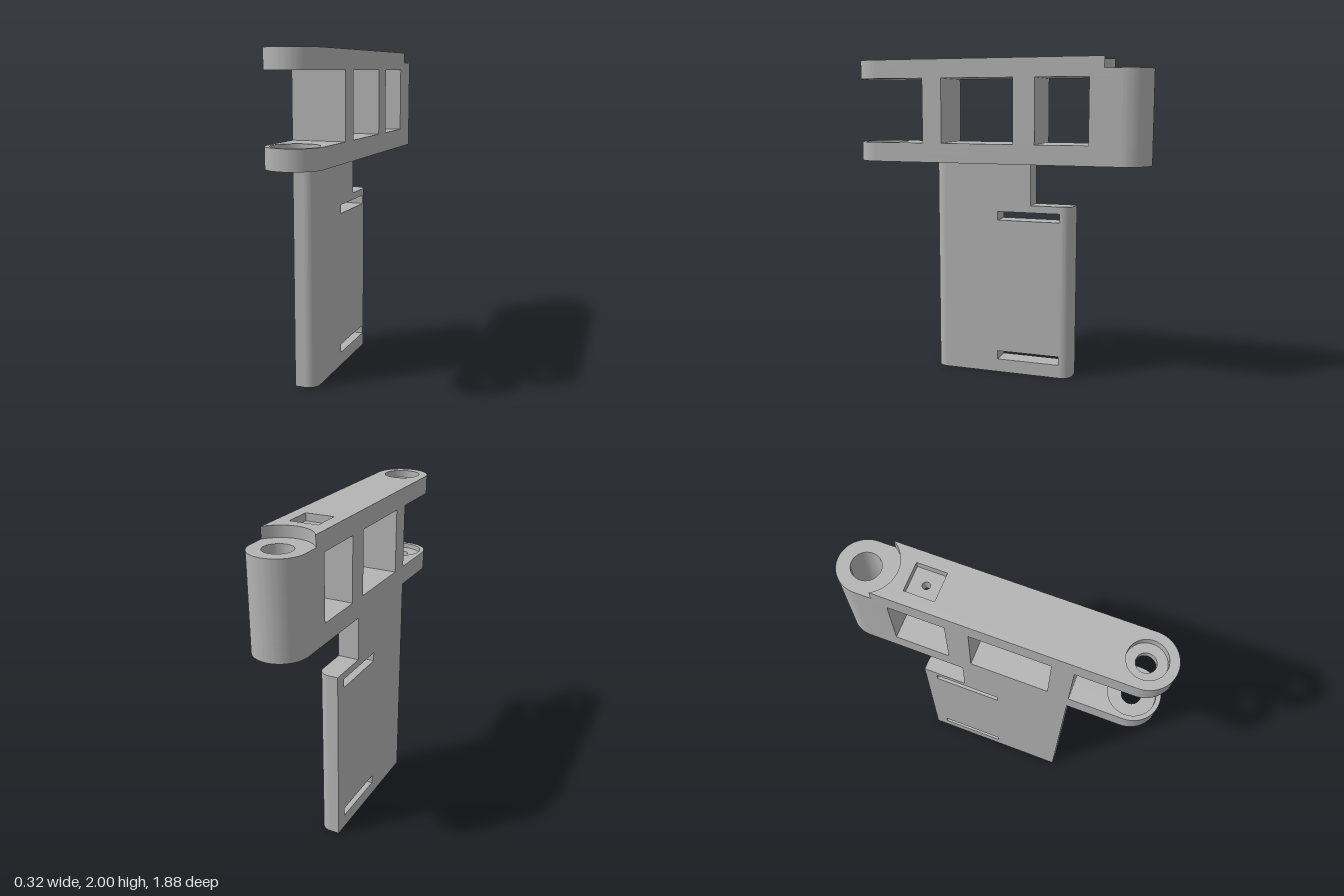
import * as THREE from 'three';
import { toCreasedNormals } from 'three/addons/utils/BufferGeometryUtils.js';

const R = 0.1625;      // half width of the arm
const PIVOT = 0.775;   // distance of both pivots from the centre

export function createModel() {
  const grey = new THREE.MeshStandardMaterial({ color: 0xb4b4b4 });
  grey.name = 'plain grey';
  const model = new THREE.Group();
  model.name = 'bracket';
  const arm = new THREE.Group();
  arm.name = 'arm';
  const blade = new THREE.Group();
  blade.name = 'mountingPlate';
  model.add(arm, blade);

  // Extrude a plan shape (x, -z) from height y0 to y1
  function slab(group, name, shape, y0, y1) {
    const geo = new THREE.ExtrudeGeometry(shape, { depth: y1 - y0, bevelEnabled: false, curveSegments: 32 });
    geo.rotateX(-Math.PI / 2);
    geo.translate(0, y0, 0);
    const mesh = new THREE.Mesh(toCreasedNormals(geo, 0.5), grey);
    mesh.name = name;
    group.add(mesh);
  }

  // Plan outline with square, round or cupped ends
  function plan(zFront, zBack, front, back, holes = []) {
    const s = new THREE.Shape();
    if (front === 'round') s.absarc(0, -PIVOT, R, Math.PI, 2 * Math.PI, false);
    else s.moveTo(-R, -zFront).lineTo(R, -zFront);
    if (back === 'round') {
      s.absarc(0, PIVOT, R, 0, Math.PI, false);
    } else if (back === 'cup') {
      const a = Math.acos(R / 0.19);
      s.absarc(0, PIVOT, 0.19, -a, Math.PI + a, true);
    } else {
      s.lineTo(R, -zBack).lineTo(-R, -zBack);
    }
    s.closePath();
    s.holes.push(...holes);
    return s;
  }

  const circle = (z, r) => new THREE.Path().absarc(0, -z, r, 0, Math.PI * 2, true);

  // Regular polygon hole; the first corner lies at the given angle
  function polygon(z, r, sides, start) {
    const pts = [];
    for (let i = 0; i < sides; i++) {
      const a = start - (i / sides) * Math.PI * 2;
      pts.push(new THREE.Vector2(r * Math.cos(a), -z + r * Math.sin(a)));
    }
    return new THREE.Path(pts);
  }

  const backBore = () => circle(-PIVOT, 0.085);
  const frontBore = (r) => circle(PIVOT, r);
  const pinHole = () => circle(-0.427, 0.022);

  // Lower arm plate: hexagonal nut pocket below, shallow washer seat above
  const lower = (hole) => plan(0, 0, 'round', 'round', [hole, backBore()]);
  slab(arm, 'lowerPlateNutPocket', lower(polygon(PIVOT, 0.1, 6, Math.PI / 2)), 1.37, 1.42);
  slab(arm, 'lowerPlateCore', lower(frontBore(0.055)), 1.42, 1.46);
  slab(arm, 'lowerPlateWasherSeat', lower(frontBore(0.135)), 1.46, 1.49);

  // Webs between the windows and the rear hinge barrel
  slab(arm, 'frontWeb', plan(0.455, 0.33), 1.49, 1.885);
  slab(arm, 'middleWeb', plan(-0.13, -0.265), 1.49, 1.885);
  slab(arm, 'hingeBarrel', plan(-0.59, 0, 'flat', 'round', [backBore()]), 1.49, 1.885);

  // Upper arm plate: washer seat below, screw and square pockets on top
  slab(arm, 'upperPlateWasherSeat', plan(0, 0, 'round', 'round', [frontBore(0.135), pinHole(), backBore()]), 1.885, 1.915);
  slab(arm, 'upperPlateCore', plan(0, 0, 'round', 'round', [frontBore(0.055), pinHole(), backBore()]), 1.915, 1.933);
  slab(arm, 'upperPlateCuppedCore', plan(0, 0, 'round', 'cup', [frontBore(0.055), pinHole()]), 1.933, 1.955);
  const square = polygon(-0.427, 0.0875 * Math.SQRT2, 4, Math.PI / 4);
  slab(arm, 'upperPlatePockets', plan(0, 0, 'round', 'cup', [frontBore(0.11), square]), 1.955, 2);

  // Mounting plate section, with optional rounded edges on its +x side
  function bladePlan(zFront, zBack, roundFront, roundBack) {
    const x0 = -R, x1 = -0.03, r = 0.07;
    const s = new THREE.Shape();
    s.moveTo(x0, -zFront);
    if (roundFront) {
      s.lineTo(x1 - r, -zFront);
      s.absarc(x1 - r, -zFront + r, r, -Math.PI / 2, 0, false);
    } else s.lineTo(x1, -zFront);
    if (roundBack) s.absarc(x1 - r, -zBack - r, r, 0, Math.PI / 2, false);
    else s.lineTo(x1, -zBack);
    s.lineTo(x0, -zBack);
    s.closePath();
    return s;
  }

  // Full bands, separated by two strap slots, and the narrower neck
  const F = 0.455, B = -0.453;
  for (const [y0, y1] of [[0, 0.085], [0.14, 1.0], [1.055, 1.1]]) {
    slab(blade, 'plateBand', bladePlan(F, B, true, true), y0, y1);
  }
  for (const [y0, y1] of [[0.085, 0.14], [1.0, 1.055]]) {
    slab(blade, 'slotFrontSide', bladePlan(F, 0.03, true, false), y0, y1);
    slab(blade, 'slotBackSide', bladePlan(-0.375, B, false, true), y0, y1);
  }
  slab(blade, 'plateNeck', bladePlan(F, -0.187, true, false), 1.1, 1.37);

  return model;
}
